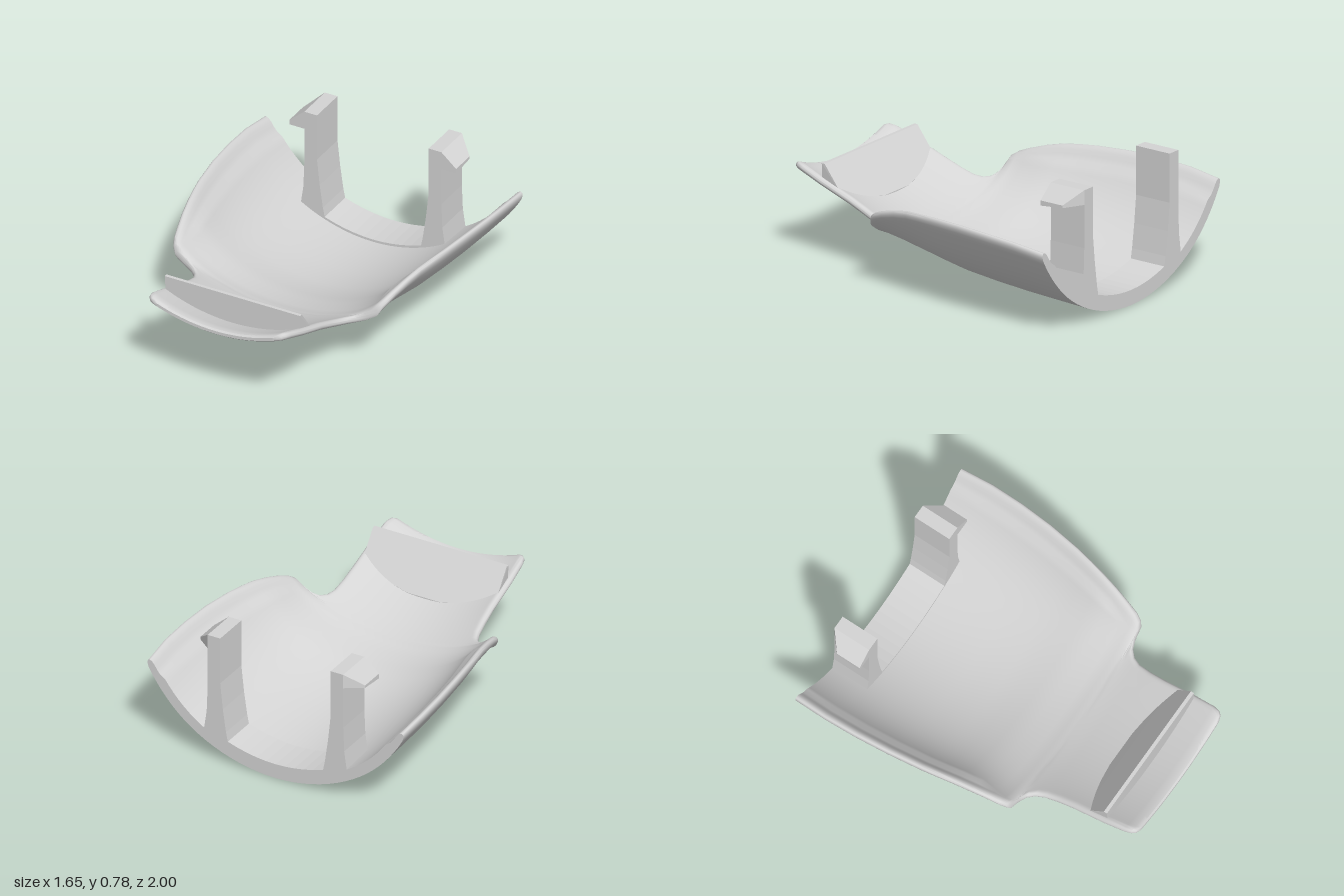
import * as THREE from 'three';
import { toCreasedNormals } from 'three/addons/utils/BufferGeometryUtils.js';
import { ConvexGeometry } from 'three/addons/geometries/ConvexGeometry.js';

// Stations along the shell: z, keel height, half width, rim rise, keel curvature, wall thickness
const STATIONS = [
  [-1, 0.002, 0.828, 0.505, 0.54, 0.045], [-0.8, 0.011, 0.838, 0.522, 0.54, 0.045],
  [-0.6, 0.021, 0.833, 0.524, 0.54, 0.045], [-0.4, 0.035, 0.817, 0.516, 0.54, 0.045],
  [-0.2, 0.057, 0.79, 0.489, 0.53, 0.045], [-0.1, 0.077, 0.771, 0.462, 0.52, 0.045],
  [0, 0.101, 0.75, 0.428, 0.5, 0.045], [0.1, 0.128, 0.728, 0.378, 0.47, 0.045],
  [0.2, 0.158, 0.703, 0.315, 0.43, 0.045], [0.26, 0.176, 0.687, 0.27, 0.4, 0.045],
  [0.295, 0.187, 0.67, 0.232, 0.39, 0.045], [0.31, 0.192, 0.65, 0.19, 0.39, 0.043],
  [0.316, 0.194, 0.585, 0.142, 0.4, 0.043], [0.335, 0.2, 0.53, 0.114, 0.4, 0.043],
  [0.37, 0.21, 0.494, 0.101, 0.41, 0.043], [0.42, 0.226, 0.473, 0.094, 0.42, 0.044],
  [0.5, 0.253, 0.463, 0.096, 0.43, 0.045], [0.6, 0.287, 0.458, 0.102, 0.45, 0.045],
  [0.8, 0.356, 0.456, 0.104, 0.47, 0.045], [0.93, 0.403, 0.449, 0.105, 0.48, 0.045],
  [0.97, 0.419, 0.438, 0.097, 0.48, 0.043], [0.99, 0.429, 0.42, 0.086, 0.48, 0.034],
  [1, 0.437, 0.39, 0.074, 0.48, 0.018],
];

// Closed cross-section: outer wall left to right, then inner wall back
function section([z, keel, w, rise, a, t]) {
  const n = 44, outer = [], inner = [], c = rise - a * w * w;
  for (let i = 0; i <= n; i++) {
    const s = -Math.cos((Math.PI * i) / n), x = s * w;
    const y = keel + a * x * x + c * s ** 6;
    const m = 2 * a * x + (6 * c * s ** 5) / w, len = Math.hypot(m, 1);
    // blunt rounded rim
    const edge = Math.min(1, ((1 - Math.abs(s)) * w) / 0.025);
    const round = 0.46 * t * (1 - Math.sqrt(1 - (1 - edge) ** 2));
    // the wall thickens below a small lip inside the rear rim
    const step = z < 0.15 ? 0.018 * THREE.MathUtils.smoothstep(0.945 - Math.abs(s), 0, 0.03) : 0;
    const at = (d) => [x - (m / len) * d, y + d / len, z];
    outer.push(at(round));
    inner.push(at(t - round + step));
  }
  return [...outer, ...inner.reverse()];
}

function shellGeometry() {
  const rings = STATIONS.map(section), M = rings[0].length, last = rings.length - 1;
  const pos = rings.flat(2), index = [];
  const quad = (a, b, c, d) => index.push(a, b, c, a, c, d);
  for (let j = 0; j < last; j++)
    for (let i = 0; i < M; i++) {
      const i2 = (i + 1) % M;
      quad(j * M + i, j * M + i2, (j + 1) * M + i2, (j + 1) * M + i);
    }
  // end caps
  const o = last * M;
  for (let i = 0; i < M / 2 - 1; i++) {
    quad(M - 1 - i, M - 2 - i, i + 1, i);
    quad(o + i, o + i + 1, o + M - 2 - i, o + M - 1 - i);
  }
  const g = new THREE.BufferGeometry();
  g.setAttribute('position', new THREE.Float32BufferAttribute(pos, 3));
  g.setIndex(index);
  return toCreasedNormals(g.toNonIndexed(), 0.7);
}

// Flat outline in x and y, extruded from z0 to z1
function slab(points, z0, z1) {
  const shape = new THREE.Shape(points.map(([x, y]) => new THREE.Vector2(x, y)));
  return new THREE.ExtrudeGeometry(shape, { depth: z1 - z0, bevelEnabled: false }).translate(0, 0, z0);
}

// Convex solid from corner points
const hull = (points) => new ConvexGeometry(points.map((p) => new THREE.Vector3(...p)));

export function createModel() {
  const model = new THREE.Group();
  const grey = new THREE.MeshStandardMaterial({ color: 0xd4d4d4 });
  grey.name = 'grey plastic';
  const add = (name, geometry) => {
    const mesh = new THREE.Mesh(geometry, grey);
    mesh.name = name;
    model.add(mesh);
  };

  add('shell', shellGeometry());

  // Raised floor between the clips
  const xs = Array.from({ length: 13 }, (_, i) => -0.36 + i * 0.06);
  add('rearLedge', slab([
    ...xs.map((x) => [x, 0.035 + 0.56 * x * x]),
    ...xs.map((x) => [-x, 0.09 + 0.58 * x * x]),
  ], -1, -0.77));

  for (const [side, s] of [['left', 1], ['right', -1]]) {
    // Clip post with flared foot
    add(side + 'ClipPost', slab([
      [0.29, 0.075], [0.315, 0.2], [0.335, 0.34], [0.352, 0.5], [0.352, 0.785],
      [0.432, 0.785], [0.432, 0.45], [0.438, 0.3], [0.46, 0.15],
    ].map(([x, y]) => [s * x, y]), -1, -0.77));

    // Wedge-shaped barb, chamfered at the rear
    add(side + 'ClipBarb', hull([
      [0.432, 0.785, -0.77], [0.432, 0.785, -1], [0.525, 0.705, -0.77], [0.525, 0.705, -0.92],
      [0.525, 0.675, -0.77], [0.525, 0.69, -0.92], [0.432, 0.675, -0.77], [0.432, 0.7, -1],
    ].map(([x, y, z]) => [s * x, y, z])));
  }

  // Stop across the front tongue: upright in front, ramped down into the floor behind
  const foot = Array.from({ length: 15 }, (_, i) => -0.42 + i * 0.06);
  add('frontStop', hull([
    ...foot.map((x) => [x, 0.378 + 0.47 * x * x, 0.805]),
    ...[1, -1].flatMap((s) => [
      [s * 0.426, 0.575, 0.805], [s * 0.426, 0.575, 0.785],
      [s * 0.426, 0.402, 0.655], [s * 0.42, 0.396, 0.655],
      [s * 0.11, 0.342, 0.61], [s * 0.11, 0.315, 0.61],
    ]),
  ]));

  return model;
}
